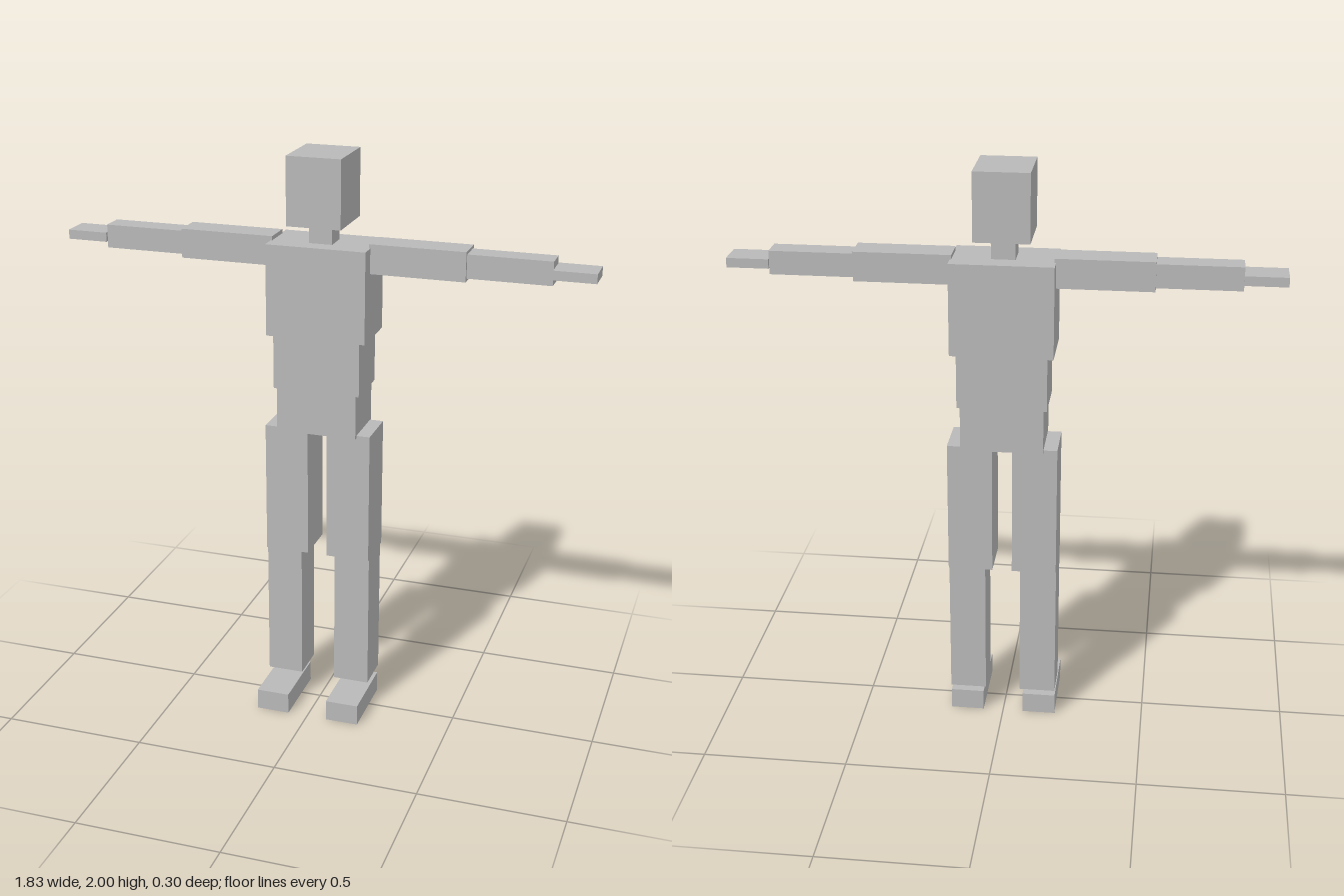
import * as THREE from 'three';

export function createModel() {
  const model = new THREE.Group();
  model.name = 'blockFigure';
  const grey = new THREE.MeshStandardMaterial({ color: 0xb8b8b8 });
  grey.name = 'grey';

  // Box given by its extents along x, y and z
  function block(name, [x0, x1], [y0, y1], [z0, z1]) {
    const mesh = new THREE.Mesh(new THREE.BoxGeometry(x1 - x0, y1 - y0, z1 - z0), grey);
    mesh.position.set((x0 + x1) / 2, (y0 + y1) / 2, (z0 + z1) / 2);
    mesh.name = name;
    model.add(mesh);
  }

  // Head and trunk: name, half width, y range, z range
  const trunk = [
    ['head', 0.093, [1.77, 2], [-0.14, 0.072]],
    ['neck', 0.04, [1.7, 1.77], [-0.084, -0.004]],
    ['chest', 0.172, [1.386, 1.7], [-0.151, 0.056]],
    ['abdomen', 0.151, [1.198, 1.386], [-0.14, 0.046]],
    ['pelvis', 0.14, [1.045, 1.198], [-0.14, 0.046]],
  ];
  for (const [name, w, y, z] of trunk) block(name, [-w, w], y, z);

  // Limbs, mirrored: name, x range on the left side, y range, z range
  const limbs = [
    ['UpperArm', [0.167, 0.492], [1.614, 1.714], [-0.101, 0.001]],
    ['Forearm', [0.492, 0.772], [1.624, 1.704], [-0.09, -0.01]],
    ['Hand', [0.772, 0.913], [1.646, 1.678], [-0.101, 0.001]],
    ['Thigh', [0.034, 0.187], [0.59, 1.054], [-0.13, 0.034]],
    ['Shin', [0.061, 0.187], [0.101, 0.59], [-0.114, 0.024]],
    ['Foot', [0.071, 0.187], [0, 0.074], [-0.103, 0.151]],
  ];
  for (const [name, [x0, x1], y, z] of limbs) {
    block('left' + name, [x0, x1], y, z);
    block('right' + name, [-x1, -x0], y, z);
  }
  return model;
}
